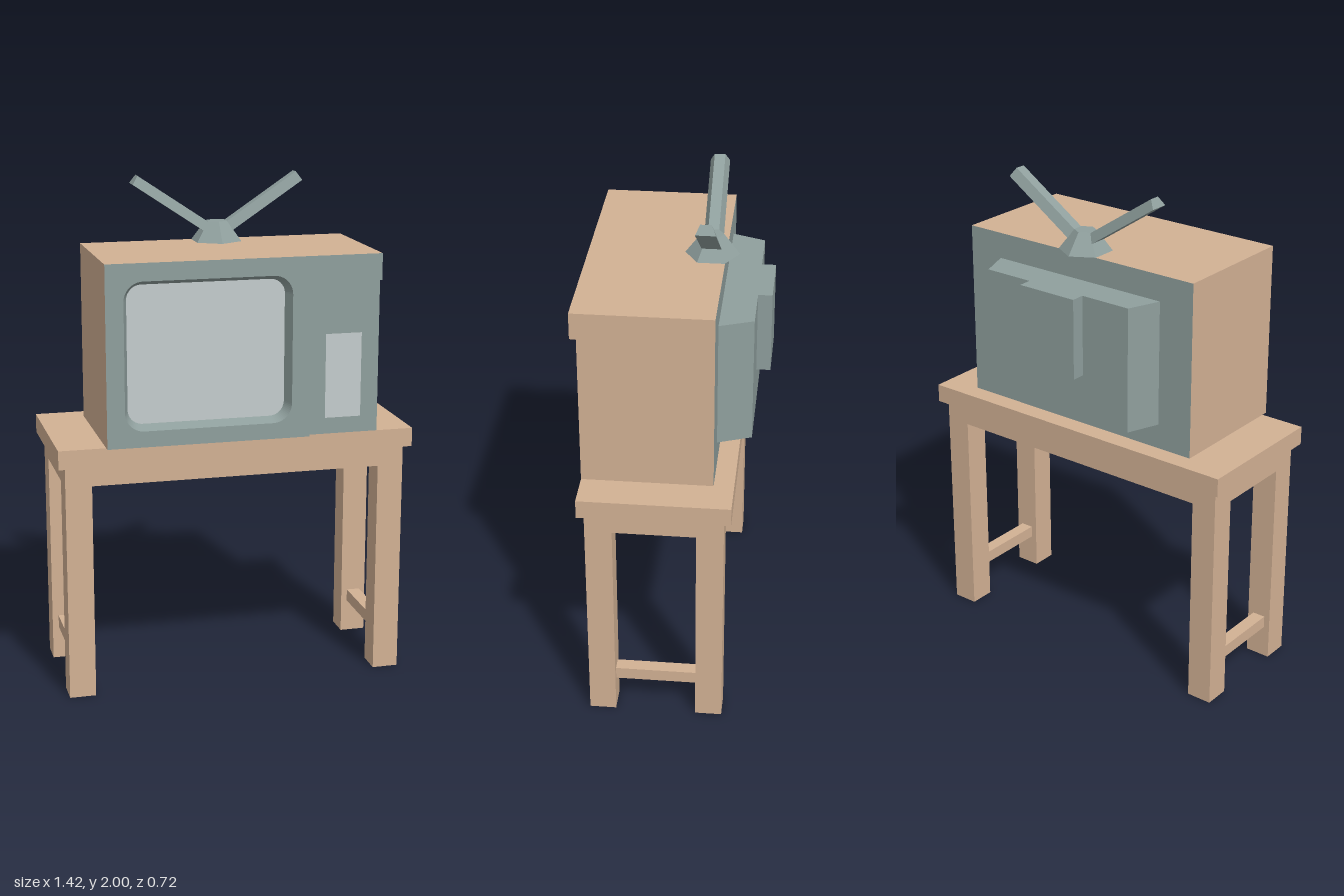
import * as THREE from 'three';

const wood = new THREE.MeshStandardMaterial({ color: 0xd2b194 });
const casing = new THREE.MeshStandardMaterial({ color: 0x8f9f9d });
const glass = new THREE.MeshStandardMaterial({ color: 0xc4cccd });

function add(parent, name, geometry, material) {
  const mesh = new THREE.Mesh(geometry, material);
  mesh.name = name;
  parent.add(mesh);
  return mesh;
}

// Box given by its minimum and maximum along each axis
function box(parent, name, [x0, x1], [y0, y1], [z0, z1], material) {
  const mesh = add(parent, name, new THREE.BoxGeometry(x1 - x0, y1 - y0, z1 - z0), material);
  mesh.position.set((x0 + x1) / 2, (y0 + y1) / 2, (z0 + z1) / 2);
  return mesh;
}

function polygon(points) {
  return new THREE.Shape(points.map(([x, y]) => new THREE.Vector2(x, y)));
}

// Counter-clockwise rounded rectangle
function roundedRect(x0, x1, y0, y1, r) {
  const s = new THREE.Shape();
  s.absarc(x1 - r, y0 + r, r, -Math.PI / 2, 0);
  s.absarc(x1 - r, y1 - r, r, 0, Math.PI / 2);
  s.absarc(x0 + r, y1 - r, r, Math.PI / 2, Math.PI);
  s.absarc(x0 + r, y0 + r, r, Math.PI, Math.PI * 1.5);
  s.closePath();
  return s;
}

function extrude(shape, depth) {
  return new THREE.ExtrudeGeometry(shape, { depth, bevelEnabled: false, curveSegments: 8 });
}

// Sloping wall between two matching outlines
function loft(outer, z0, inner, z1) {
  const a = outer.getPoints(8), b = inner.getPoints(8), pos = [];
  for (let i = 0; i < a.length - 1; i++) {
    const p = a[i], q = a[i + 1], r = b[i + 1], s = b[i];
    pos.push(p.x, p.y, z0, q.x, q.y, z0, r.x, r.y, z1);
    pos.push(p.x, p.y, z0, r.x, r.y, z1, s.x, s.y, z1);
  }
  const g = new THREE.BufferGeometry();
  g.setAttribute('position', new THREE.Float32BufferAttribute(pos, 3));
  g.computeVertexNormals();
  return g;
}

function createTable() {
  const table = new THREE.Group();
  table.name = 'table';
  box(table, 'tableTop', [-0.71, 0.71], [0.945, 1.02], [-0.253, 0.33], wood);
  box(table, 'apron', [-0.682, 0.682], [0.865, 0.945], [-0.225, 0.305], wood);
  for (const s of [-1, 1]) {
    const legX = [0.63 * s - 0.052, 0.63 * s + 0.052];
    box(table, 'frontLeg', legX, [0, 0.865], [0.2, 0.305], wood);
    box(table, 'backLeg', legX, [0, 0.865], [-0.225, -0.12], wood);
    box(table, 'stretcher', [0.63 * s - 0.027, 0.63 * s + 0.027], [0.135, 0.185], [-0.12, 0.2], wood);
  }
  return table;
}

function createTelevision() {
  const tv = new THREE.Group();
  tv.name = 'television';
  const L = -0.525, R = 0.56, B = 1.02, T = 1.73, front = 0.355, panelZ = 0.33, screenZ = 0.303;
  const notchX = 0.275, notchY = 1.625;

  // Cabinet with wooden sides and a coloured back
  box(tv, 'cabinet', [L, R], [B, T], [-0.175, 0.3], [wood, wood, wood, wood, casing, casing]);

  // Front in two layers, the outer one cut away over the control panel
  const opening = roundedRect(-0.455, 0.203, 1.083, 1.66, 0.075);
  const inner = roundedRect(-0.435, 0.185, 1.1, 1.64, 0.058);
  const layers = [
    [[[L, B], [R, B], [R, T], [L, T]], 0.3, panelZ],
    [[[L, B], [notchX, B], [notchX, notchY], [R, notchY], [R, T], [L, T]], panelZ, front],
  ];
  for (const [outline, z0, z1] of layers) {
    const shape = polygon(outline);
    shape.holes.push(opening);
    add(tv, 'frontFrame', extrude(shape, z1 - z0), [casing, wood]).position.z = z0;
  }

  // Coloured edges of the cut-away
  const depth = front - panelZ;
  const side = add(tv, 'panelSideEdge', new THREE.PlaneGeometry(depth, notchY - B), casing);
  side.rotation.y = Math.PI / 2;
  side.position.set(notchX + 0.001, (notchY + B) / 2, panelZ + depth / 2);
  const ceiling = add(tv, 'panelTopEdge', new THREE.PlaneGeometry(R - notchX, depth), casing);
  ceiling.rotation.x = Math.PI / 2;
  ceiling.position.set((R + notchX) / 2, notchY - 0.001, panelZ + depth / 2);

  // Screen, its sloping surround and the control plate
  add(tv, 'screenSurround', loft(opening, front, inner, screenZ), casing);
  add(tv, 'screen', new THREE.ShapeGeometry(inner, 8), glass).position.z = screenZ;
  const plate = add(tv, 'controlPlate', new THREE.PlaneGeometry(0.145, 0.335), glass);
  plate.position.set(0.417, 1.252, panelZ + 0.002);

  // Tapered rear housing and the block behind it
  const taper = polygon([[-0.375, 0.175], [0.41, 0.175], [0.36, 0.305], [-0.325, 0.305]]);
  const housing = extrude(taper, notchY - 1.12);
  housing.rotateX(-Math.PI / 2);
  add(tv, 'rearHousing', housing, casing).position.y = 1.12;
  box(tv, 'rearBlock', [-0.11, 0.15], [1.3, notchY], [-0.36, -0.305], casing);
  return tv;
}

function createAntenna() {
  const antenna = new THREE.Group();
  antenna.name = 'antenna';
  antenna.position.set(0.02, 1.73, -0.121);

  const baseMaterial = casing.clone();
  baseMaterial.flatShading = true;
  add(antenna, 'antennaBase', new THREE.CylinderGeometry(0.044, 0.105, 0.08, 6), baseMaterial).position.y = 0.04;

  // Two arms of trapezoid section, turned about the base
  const section = polygon([[-0.038, -0.02], [0.038, -0.02], [0.021, 0.02], [-0.021, 0.02]]);
  const arm = extrude(section, 0.39);
  arm.rotateY(Math.PI / 2).rotateZ(Math.atan2(2, 3)).translate(0.011, 0.036, 0);
  for (const [name, turn] of [['leftArm', 0], ['rightArm', Math.PI]]) {
    add(antenna, name, arm, casing).rotation.y = turn;
  }
  return antenna;
}

export function createModel() {
  const model = new THREE.Group();
  model.name = 'televisionOnTable';
  model.add(createTable(), createTelevision(), createAntenna());
  return model;
}
